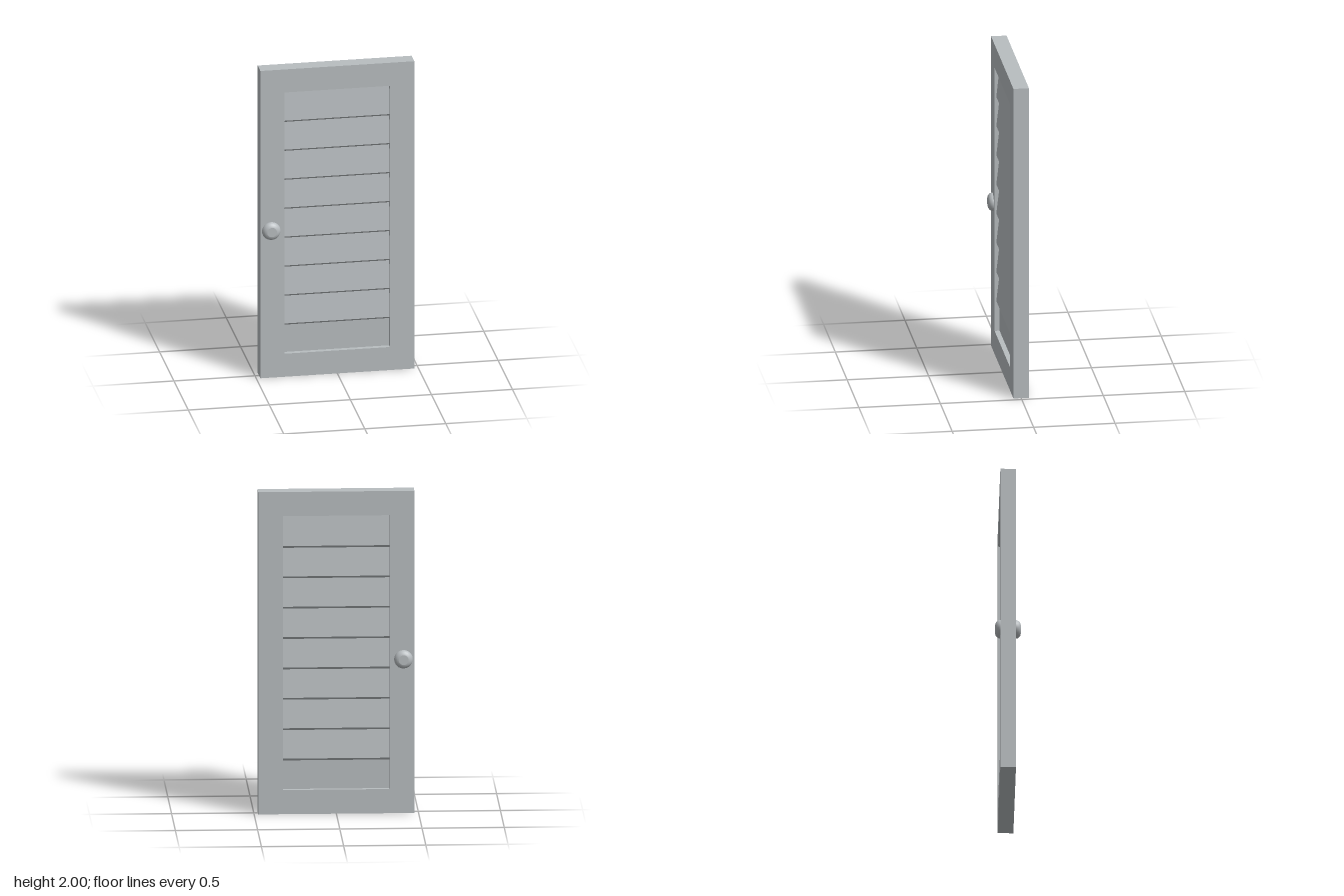
import * as THREE from 'three';

const HALF_W = 0.475, HEIGHT = 2, HALF_D = 0.0475;   // door leaf
const OPEN_W = 0.325, OPEN_LOW = 0.15, OPEN_TOP = 1.85; // louvred opening
const RECESS = 0.017, LIP = 0.037;                   // half depth of slats at top and lip

const rect = (Type, x, y0, y1) => new Type([
  new THREE.Vector2(-x, y0), new THREE.Vector2(x, y0),
  new THREE.Vector2(x, y1), new THREE.Vector2(-x, y1),
]);

export function createModel() {
  const paint = new THREE.MeshStandardMaterial({ color: 0xb8bdc0 });
  paint.name = 'pale grey paint';
  const door = new THREE.Group();
  door.name = 'louvredDoor';

  const add = (geometry, name, parent = door) => {
    const mesh = new THREE.Mesh(geometry, paint);
    mesh.name = name;
    parent.add(mesh);
    return mesh;
  };

  // Frame: slab with a rectangular opening
  const outline = rect(THREE.Shape, HALF_W, 0, HEIGHT);
  outline.holes.push(rect(THREE.Path, OPEN_W, OPEN_LOW, OPEN_TOP));
  const frame = new THREE.ExtrudeGeometry(outline, { depth: HALF_D * 2, bevelEnabled: false });
  add(frame.translate(0, 0, -HALF_D), 'frame');

  // Slats: each leans out to a lip at its foot, the same on both faces
  const slats = new THREE.Group();
  slats.name = 'slats';
  door.add(slats);
  let top = OPEN_TOP;
  for (let i = 0; i < 8; i++) {
    const lip = 1.662 - i * 0.1885, foot = lip - 0.015;
    const section = new THREE.Shape([
      new THREE.Vector2(-RECESS, top), new THREE.Vector2(-LIP, lip),
      new THREE.Vector2(-RECESS, foot), new THREE.Vector2(RECESS, foot),
      new THREE.Vector2(LIP, lip), new THREE.Vector2(RECESS, top),
    ]);
    const slat = new THREE.ExtrudeGeometry(section, { depth: OPEN_W * 2, bevelEnabled: false });
    slat.translate(0, 0, -OPEN_W).rotateY(Math.PI / 2);
    add(slat, 'slat', slats);
    top = foot;
  }

  // Flat panel under the lowest slat
  const panel = new THREE.BoxGeometry(OPEN_W * 2, top - OPEN_LOW, RECESS * 2);
  add(panel.translate(0, (top + OPEN_LOW) / 2, 0), 'bottomPanel');

  // Rounded knobs with a flat cap, one on each face
  const profile = [[0.057, 0.04], [0.057, 0.05], [0.054, 0.06], [0.047, 0.069], [0.039, 0.075], [0.03, 0.0775]]
    .map(([r, z]) => new THREE.Vector2(r, z));
  for (const side of [1, -1]) {
    const knob = new THREE.Group();
    knob.name = side > 0 ? 'frontKnob' : 'backKnob';
    add(new THREE.LatheGeometry(profile, 24).rotateX(Math.PI / 2), 'knobBody', knob);
    add(new THREE.CircleGeometry(0.03, 24).translate(0, 0, 0.0775), 'knobCap', knob);
    knob.position.set(-0.408, 0.955, 0);
    if (side < 0) knob.rotation.y = Math.PI;
    door.add(knob);
  }
  return door;
}
